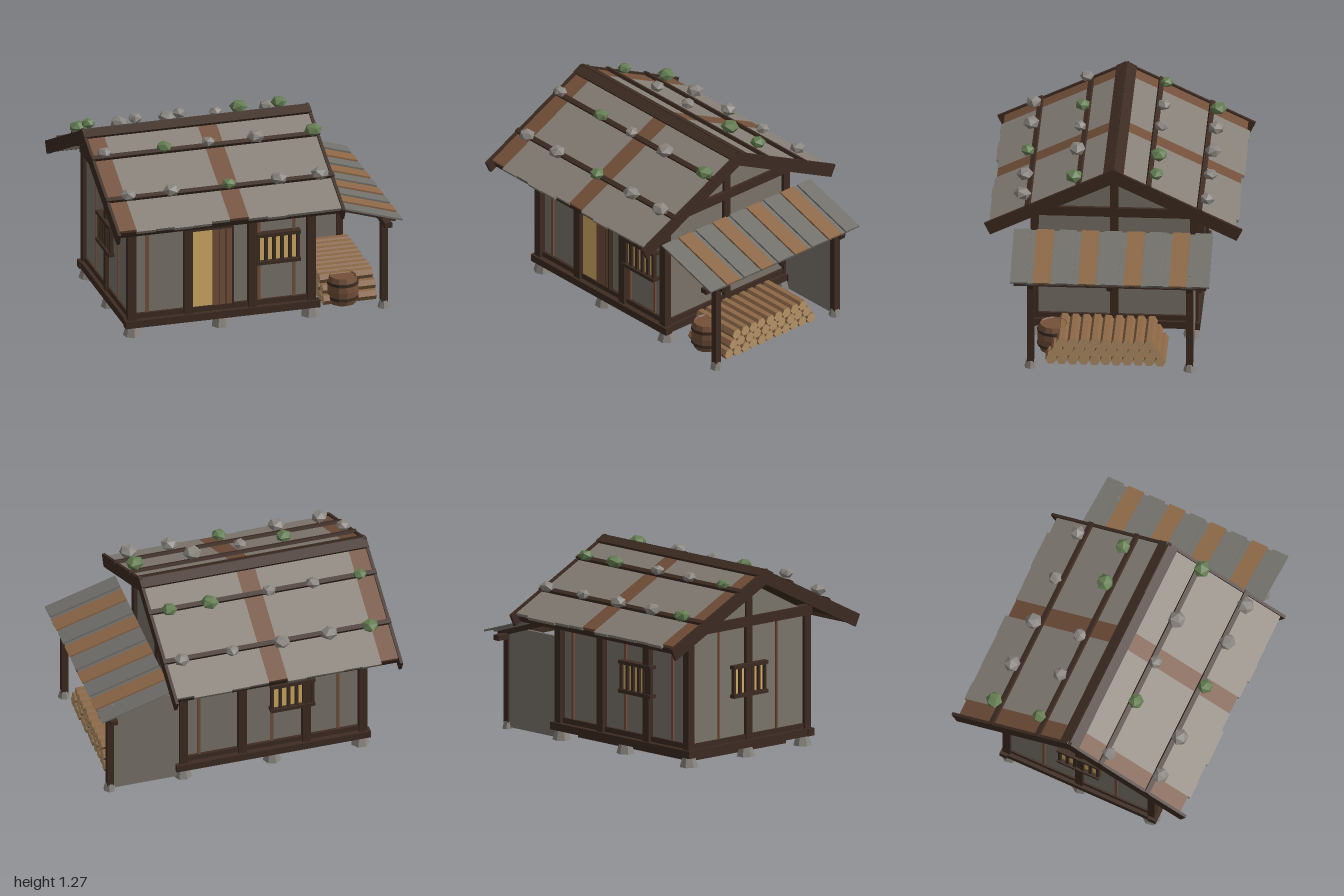
import * as THREE from 'three';

const mat = (name, color) => Object.assign(new THREE.MeshStandardMaterial({ color, flatShading: true }), { name });

export function createModel() {
  const M = {
    dark: mat('darkTimber', 0x3d2c22), plaster: mat('plaster', 0x7c756c), roof: mat('roofGrey', 0x878078),
    grey: mat('weatheredPlank', 0x72706b), brown: mat('brownWood', 0x73503a), light: mat('lightWood', 0x8c6847),
    cut: mat('cutLog', 0xb8966a), paper: mat('windowPaper', 0xd3ae66), stone: mat('stone', 0x8a8580), moss: mat('mossStone', 0x647d52),
  };
  const model = new THREE.Group();
  model.name = 'cabin';
  let seed = 7;
  const rnd = () => (seed = (seed * 16807) % 2147483647) / 2147483647;

  const group = (name, parent = model) => {
    const g = new THREE.Group();
    g.name = name;
    parent.add(g);
    return g;
  };
  const add = (name, geo, material, x, y, z, parent = model) => {
    const m = new THREE.Mesh(geo, material);
    m.name = name;
    m.position.set(x, y, z);
    parent.add(m);
    return m;
  };
  // box given by its extents
  const box = (name, material, x0, x1, y0, y1, z0, z1, parent = model) =>
    add(name, new THREE.BoxGeometry(x1 - x0, y1 - y0, z1 - z0), material, (x0 + x1) / 2, (y0 + y1) / 2, (z0 + z1) / 2, parent);

  // floor, sills and wall core
  box('floorBase', M.dark, -0.73, 0.34, 0.012, 0.08, -0.43, 0.43);
  box('floor', M.dark, -0.83, 0.43, 0.075, 0.11, -0.53, 0.53);
  box('walls', M.plaster, -0.815, 0.415, 0.1, 0.88, -0.505, 0.505);
  for (const s of [-1, 1]) {
    box('longSill', M.dark, -0.86, 0.465, 0.065, 0.115, s * 0.535 - 0.027, s * 0.535 + 0.027);
    box('longRail', M.dark, -0.8, 0.4, 0.115, 0.15, s * 0.51 - 0.015, s * 0.51 + 0.015);
    box('wallPlate', M.dark, -0.84, 0.44, 0.8, 0.87, s * 0.52 - 0.025, s * 0.52 + 0.025);
    for (const x of [-0.812, -0.427, 0.01, 0.412])
      box('wallPost', M.dark, x - 0.028, x + 0.028, 0.11, 0.87, s * 0.522 - 0.026, s * 0.522 + 0.026);
  }
  for (const x of [-0.812, 0.412]) {
    const s = x < 0 ? -1 : 1;
    box('shortSill', M.dark, x - 0.04, x + 0.04, 0.065, 0.115, -0.56, 0.56);
    box('shortRail', M.dark, x - 0.015, x + 0.02, 0.115, 0.15, -0.5, 0.5);
    box('tieBeam', M.dark, x - 0.03, x + 0.03, 0.87, 0.935, -0.56, 0.56);
    box('gablePost', M.dark, x - 0.027, x + 0.027, 0.11, 1.17, -0.027, 0.027);
    // gable triangle
    const tri = new THREE.Shape([[-0.48, 0.92], [0.48, 0.92], [0, 1.165]].map(p => new THREE.Vector2(...p)));
    const g = new THREE.ExtrudeGeometry(tri, { depth: 0.02, bevelEnabled: false });
    add('gable', g, M.plaster, x - 0.01, 0, 0).rotation.y = Math.PI / 2;
    if (s < 0) for (const z of [-0.26, 0.26])
      box('wallBatten', M.brown, -0.825, -0.81, 0.15, 0.87, z - 0.008, z + 0.008);
  }
  for (const [x, z] of [[-0.7, 1], [0.3, 1], [0.06, 1], [0.3, -1], [-0.2, -1], [-0.65, -1]])
    box('wallBatten', M.brown, x - 0.009, x + 0.009, 0.15, 0.8, z * 0.51 - 0.008, z * 0.51 + 0.008);

  // door
  box('doorOpening', M.paper, -0.4, -0.25, 0.15, 0.69, 0.508, 0.516);
  box('slidingDoor', M.brown, -0.255, -0.125, 0.15, 0.69, 0.51, 0.526);
  for (const x of [-0.21, -0.168]) box('doorSlat', M.dark, x - 0.002, x + 0.002, 0.15, 0.69, 0.525, 0.528);
  box('doorHeader', M.dark, -0.4, -0.12, 0.69, 0.708, 0.5, 0.54);
  box('doorJamb', M.dark, -0.127, -0.118, 0.15, 0.7, 0.5, 0.54);

  // barred windows
  const windowAt = (x, z, turn) => {
    const g = group('window');
    box('windowPaper', M.paper, -0.135, 0.135, 0.42, 0.61, 0.018, 0.026, g);
    for (const y of [0.42, 0.613]) box('windowRail', M.dark, -0.152, 0.152, y - 0.012, y + 0.012, 0, 0.055, g);
    for (let i = 0; i < 6; i++) {
      const bx = -0.137 + i * 0.0548;
      box('windowBar', M.dark, bx - 0.01, bx + 0.01, 0.42, 0.61, 0.02, 0.045, g);
    }
    g.position.set(x, 0, z);
    g.rotation.y = turn;
  };
  windowAt(0.183, 0.505, 0);
  windowAt(-0.33, -0.505, Math.PI);
  windowAt(-0.8, 0, -Math.PI / 2);

  // foundation stones
  const foot = (x, z, r = 0.062, h = 0.07) =>
    add('footStone', new THREE.CylinderGeometry(r * 0.68, r, h, 7), M.stone, x, h / 2, z).rotation.y = rnd() * 3;
  for (const x of [-0.8, -0.2, 0.41]) for (const z of [-0.51, 0, 0.51]) if (x !== -0.2 || z) foot(x, z);

  // main roof, one tilted group per slope
  const slope = Math.atan(0.49);
  for (const s of [-1, 1]) {
    const r = group(s > 0 ? 'frontRoof' : 'backRoof');
    r.position.y = 1.255;
    r.rotation.x = s * slope;
    const slab = (name, m, x0, x1, y0, y1, d0, d1) =>
      box(name, m, x0, x1, y0, y1, Math.min(s * d0, s * d1), Math.max(s * d0, s * d1), r);
    slab('roofUnderside', M.dark, -0.985, 0.545, -0.05, -0.02, 0, 0.885);
    for (let i = 0; i < 12; i++) {
      const x = -0.985 + i * 0.1275, brown = i % 6 === 0;
      slab('roofPlank', brown ? M.brown : M.roof, x, x + 0.1275, -0.022, 0, 0, brown ? 0.888 : 0.89 + rnd() * 0.025);
    }
    for (const x of [-0.985, 0.545]) slab('bargeBoard', M.dark, x - 0.01, x + 0.01, -0.075, 0.012, -0.02, 0.935);
    for (const d of [0.25, 0.62]) slab('roofBatten', M.dark, -0.995, 0.558, -0.005, 0.022, d - 0.016, d + 0.016);
    slab('ridgeBoard', M.dark, -0.995, 0.555, -0.005, 0.018, -0.005, 0.066);
    slab('eaveBoard', M.dark, -0.985, 0.545, -0.07, -0.02, 0.86, 0.885);
  }

  // roof weights: x, z, radius, mossy
  const rocks = [
    [-0.84, -0.61, 0.06, 1], [-0.56, -0.61, 0.06], [-0.235, -0.61, 0.06], [0.1, -0.61, 0.05], [0.445, -0.61, 0.055],
    [-0.87, -0.27, 0.048, 1], [-0.55, -0.27, 0.05], [-0.25, -0.27, 0.05], [0.155, -0.275, 0.063, 1], [0.43, -0.275, 0.055, 1],
    [-0.915, 0.255, 0.05], [-0.51, 0.26, 0.055, 1], [-0.21, 0.26, 0.048], [0.115, 0.26, 0.063], [0.505, 0.26, 0.062, 1],
    [-0.855, 0.6, 0.057], [-0.56, 0.6, 0.06], [-0.17, 0.6, 0.053, 1], [0.17, 0.6, 0.06], [0.45, 0.6, 0.062],
  ];
  for (const [x, z, r, mossy] of rocks) {
    const g = new THREE.IcosahedronGeometry(r, 0);
    g.rotateX(rnd() * 3).rotateZ(rnd() * 3).scale(1, 0.7, 0.95);
    add('roofStone', g, mossy ? M.moss : M.stone, x, 1.325 - 0.49 * Math.abs(z), z);
  }

  // lean-to shelter
  box('shelterBackWall', M.plaster, 0.44, 0.9, 0.012, 0.685, -0.53, -0.51);
  for (const z of [-0.52, 0.52]) {
    box('shelterPost', M.dark, 0.888, 0.932, 0.04, 0.62, z - 0.023, z + 0.023);
    foot(0.91, z, 0.042, 0.05);
  }
  box('shelterBeam', M.dark, 0.885, 0.935, 0.6, 0.635, -0.63, 0.63);
  const lean = group('shelterRoof');
  lean.position.set(0.757, 0.72, 0);
  lean.rotation.z = -0.3;
  for (const z of [-0.52, 0, 0.52]) box('shelterRafter', M.dark, -0.25, 0.25, -0.045, -0.01, z - 0.02, z + 0.02, lean);
  for (let i = 0; i < 9; i++) {
    const z = (i - 4) * 0.1485;
    box('shelterPlank', i % 2 ? M.light : M.grey, -0.25, 0.252, 0.004, 0.016, z - 0.057, z + 0.057, lean);
    if (i < 8) box('shelterUnderPlank', M.grey, -0.25, 0.245, -0.01, 0.004, z + 0.02, z + 0.13, lean);
  }

  // firewood stack
  const wood = group('firewood');
  const logGeo = new THREE.CylinderGeometry(0.037, 0.037, 0.36, 6).rotateZ(Math.PI / 2);
  for (let row = 0; row < 3; row++)
    for (let i = 0; i < 11 - row; i++)
      add('log', logGeo, [M.light, M.cut, M.cut], 0.71 + (rnd() - 0.5) * 0.012, 0.044 + row * 0.061, 0.39 - row * 0.036 - i * 0.0715, wood);

  // barrel
  const barrel = group('barrel');
  barrel.position.set(0.67, 0.012, 0.385);
  const staves = [[0, 0], [0.088, 0], [0.102, 0.05], [0.106, 0.095], [0.102, 0.14], [0.088, 0.188], [0.08, 0.18], [0, 0.18]];
  add('barrelBody', new THREE.LatheGeometry(staves.map(p => new THREE.Vector2(...p)), 12), M.brown, 0, 0, 0, barrel);
  for (const y of [0.045, 0.145]) add('barrelHoop', new THREE.CylinderGeometry(0.107, 0.107, 0.02, 12, 1), M.dark, 0, y, 0, barrel);
  return model;
}
